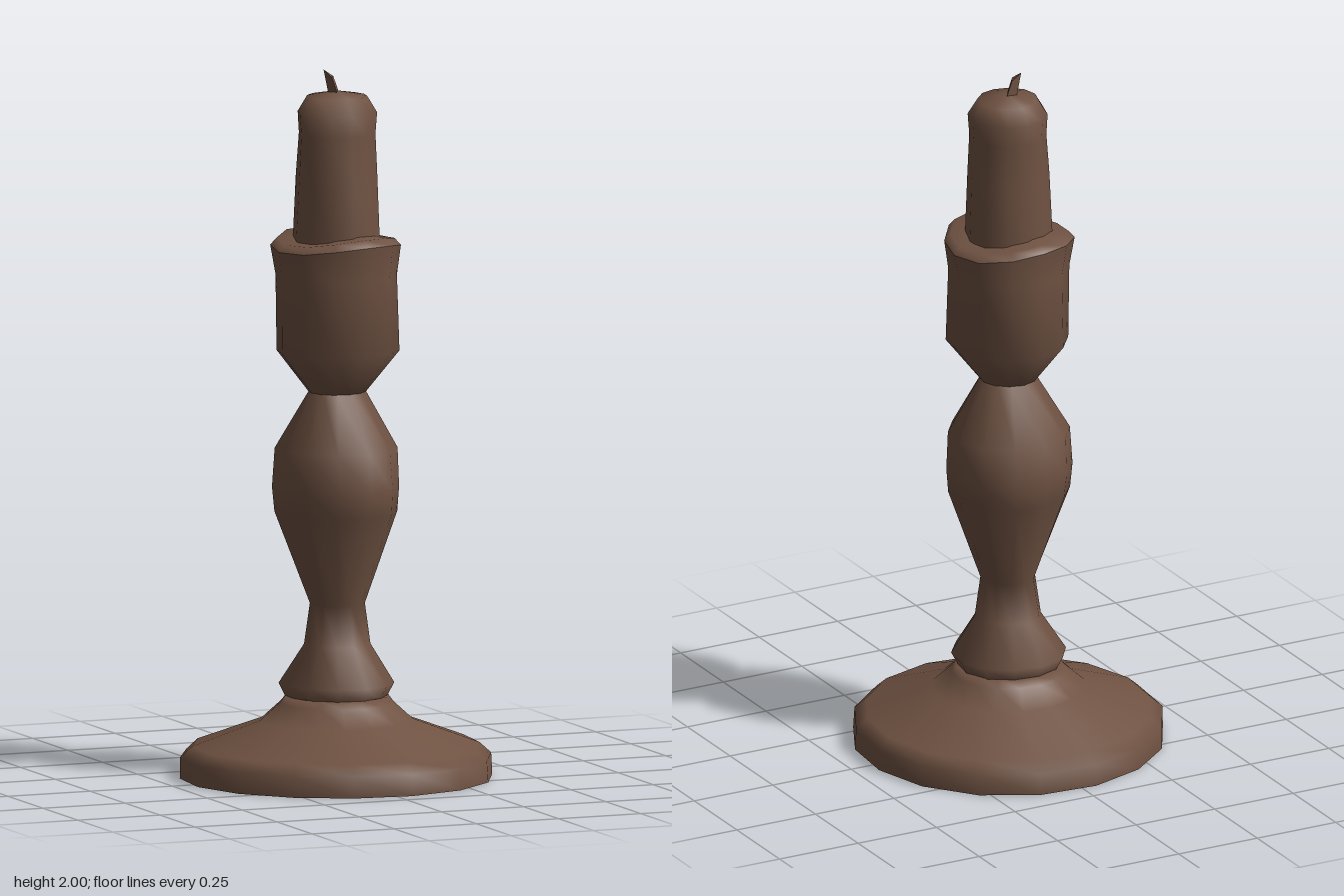
import * as THREE from 'three';
import { mergeVertices } from 'three/addons/utils/BufferGeometryUtils.js';

const brown = new THREE.MeshStandardMaterial({ color: 0x6f5242 });
brown.name = 'dark brown';

// Turned part with a slightly uneven, hand-carved outline; profile runs bottom to top as [radius, y]
function turned(name, profile, sides, wobble = 0, turn = 0, reshape = null) {
  let geo = new THREE.LatheGeometry(profile.map(([r, y]) => new THREE.Vector2(r, y)), sides, turn);
  geo.deleteAttribute('uv');
  geo.deleteAttribute('normal');
  const pos = geo.attributes.position;
  const v = new THREE.Vector3();
  for (let i = 0; i < pos.count; i++) {
    v.fromBufferAttribute(pos, i);
    const a = Math.atan2(v.x, v.z);
    const k = 1 + wobble * Math.sin(3 * a + 9 * v.y);
    v.x *= k;
    v.z *= k;
    if (reshape) reshape(v, a);
    pos.setXYZ(i, v.x, v.y, v.z);
  }
  geo = mergeVertices(geo, 1e-4);
  geo.computeVertexNormals();
  const mesh = new THREE.Mesh(geo, brown);
  mesh.name = name;
  return mesh;
}

export function createModel() {
  const group = new THREE.Group();
  group.name = 'candlestick';

  // Broad foot with a flat underside
  group.add(turned('base', [
    [0.44, 0], [0.438, 0.06], [0.405, 0.09], [0.215, 0.16], [0.16, 0.21], [0.145, 0.23], [0, 0.23],
  ], 16, 0.008, 0.1));
  group.add(turned('underside', [[0, 0], [0.44, 0]], 16, 0.008, 0.1));

  // Flared collar, narrow neck and swelling stem
  group.add(turned('stem', [
    [0.14, 0.222], [0.162, 0.265], [0.093, 0.375], [0.077, 0.49],
    [0.172, 0.75], [0.178, 0.82], [0.172, 0.93], [0.08, 1.09],
  ], 12, 0.02, 0.15));

  // Socket cup with an uneven rim
  const rimWave = (v, a) => {
    if (v.y > 1.45) v.y += 0.012 * Math.sin(2 * a + 1);
  };
  group.add(turned('cup', [
    [0.08, 1.088], [0.172, 1.205], [0.17, 1.42], [0.183, 1.505],
  ], 12, 0.02, 0.1, rimWave));
  group.add(turned('cupRim', [[0.183, 1.505], [0.165, 1.525], [0.09, 1.53]], 12, 0.02, 0.1, rimWave));

  // Candle, gently tapered, with a small wax drip on one upper side
  group.add(turned('candle', [
    [0.123, 1.51], [0.115, 1.7], [0.108, 1.82], [0.112, 1.88], [0.085, 1.925], [0, 1.94],
  ], 12, 0.015, 0, (v, a) => {
    const drip = Math.exp(-Math.pow((a + 0.96) / 0.35, 2));
    if (v.y > 1.8 && v.y < 1.9) {
      v.x *= 1 + 0.16 * drip;
      v.z *= 1 + 0.16 * drip;
    }
  }));

  // Leaning three-sided wick
  const wickGeo = new THREE.CylinderGeometry(0.017, 0.02, 0.08, 3).toNonIndexed();
  const p = wickGeo.attributes.position;
  for (let i = 0; i < p.count; i++) {
    const up = p.getY(i) > 0;
    if (up) p.setX(i, p.getX(i) - 0.02);
    if (up && p.getX(i) > -0.02) p.setY(i, 0.02);
  }
  wickGeo.translate(-0.002, 1.96, 0);
  wickGeo.computeVertexNormals();
  const wick = new THREE.Mesh(wickGeo, brown);
  wick.name = 'wick';
  group.add(wick);

  return group;
}
